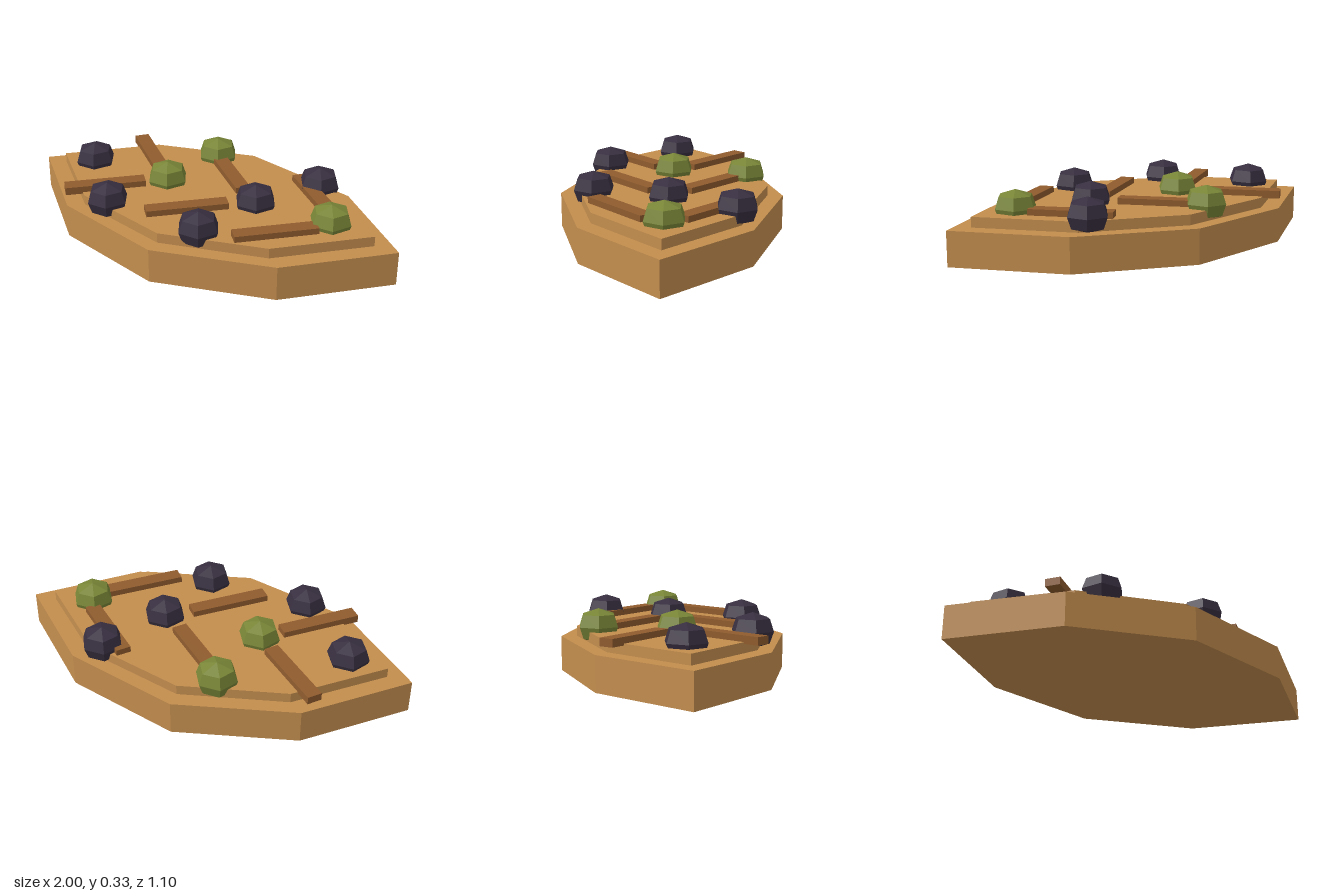
import * as THREE from 'three';

const flat = (name, color) => new THREE.MeshStandardMaterial({ name, color, flatShading: true });

export function createModel() {
  const group = new THREE.Group();
  group.name = 'garnishedFlatbread';
  const crust = flat('golden crust', 0xc48e4e);
  const strip = flat('brown strip', 0x905c2e);
  const dark = flat('dark berry', 0x382f40);
  const green = flat('olive green', 0x798637);

  const add = (name, geometry, material, x, y, z, turn = 0) => {
    const mesh = new THREE.Mesh(geometry, material);
    mesh.name = name;
    mesh.position.set(x, y, z);
    mesh.rotation.y = turn;
    group.add(mesh);
  };

  // Eight-sided pointed slab
  const slab = (tip, shoulderX, shoulderZ, halfDepth, height) => {
    const outline = [
      [tip, 0], [shoulderX, shoulderZ], [0, halfDepth], [-shoulderX, shoulderZ],
      [-tip, 0], [-shoulderX, -shoulderZ], [0, -halfDepth], [shoulderX, -shoulderZ],
    ].map(([x, z]) => new THREE.Vector2(x, z));
    return new THREE.ExtrudeGeometry(new THREE.Shape(outline), { depth: height, bevelEnabled: false })
      .rotateX(-Math.PI / 2);
  };
  add('base', slab(1, 0.58, 0.393, 0.552, 0.17), crust, 0, 0, 0);
  add('raisedTop', slab(0.88, 0.51, 0.34, 0.475, 0.05), crust, 0, 0.17, 0);

  // Diagonal strips, mirrored front to back
  const stripGeometry = new THREE.BoxGeometry(0.4, 0.038, 0.073);
  for (const x of [-0.475, 0, 0.475]) {
    for (const side of [1, -1]) {
      add('strip', stripGeometry, strip, x, 0.231, side * 0.212, side * 0.73);
    }
  }

  // Faceted six-sided toppings, with corners along x
  const profile = [[0, -0.085], [0.084, -0.056], [0.104, 0], [0.084, 0.058], [0, 0.086]]
    .map(([r, y]) => new THREE.Vector2(r, y));
  const topping = new THREE.LatheGeometry(profile, 6).rotateY(Math.PI / 6);
  const darkSpots = [[-0.685, 0], [0.26, 0], [-0.37, 0.34], [0.157, 0.367], [0.45, -0.32]];
  const greenSpots = [[-0.24, 0], [0.657, 0], [-0.16, -0.37]];
  for (const [x, z] of darkSpots) add('darkTopping', topping, dark, x, 0.24, z);
  for (const [x, z] of greenSpots) add('greenTopping', topping, green, x, 0.24, z);

  return group;
}
